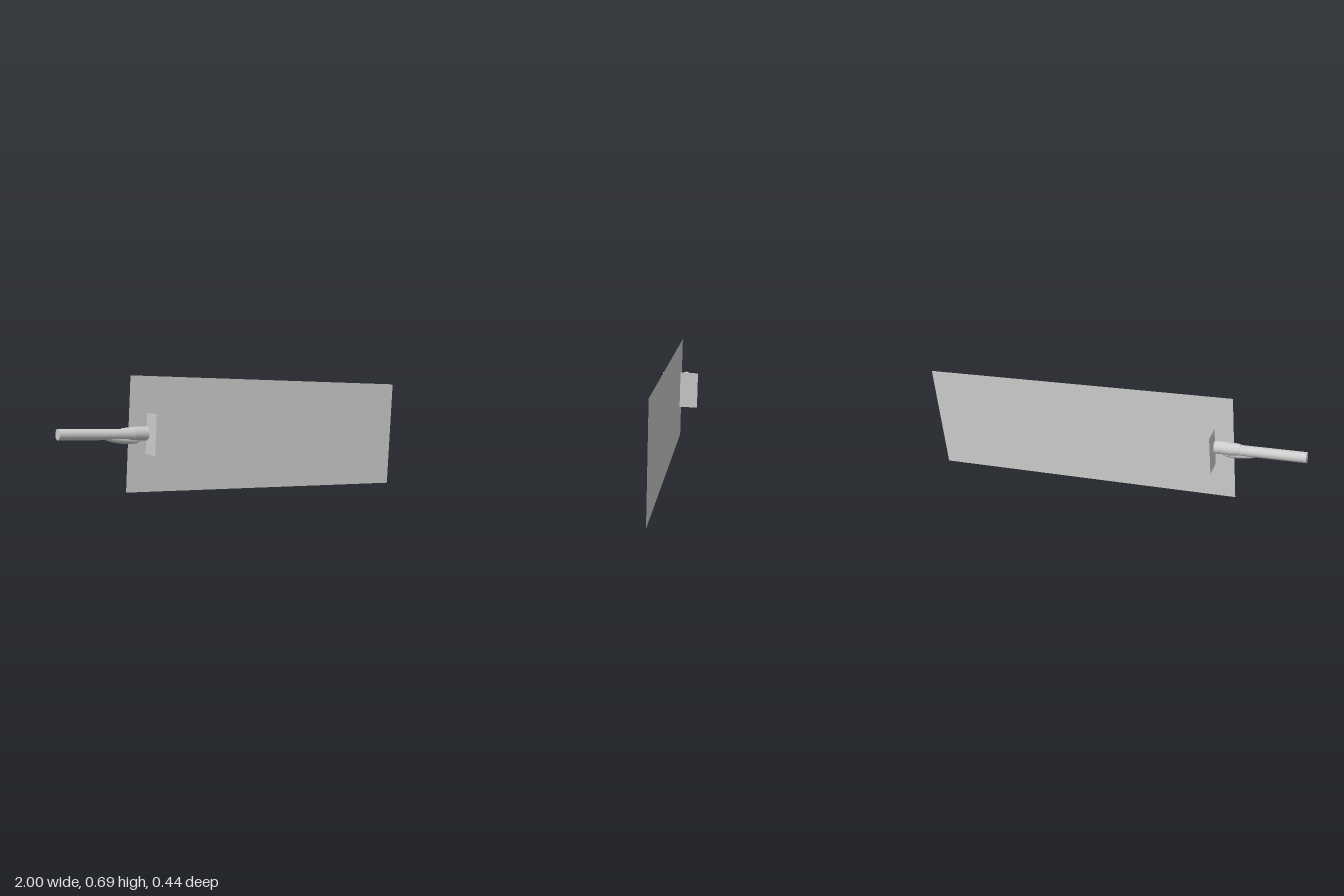
import * as THREE from 'three';

export function createModel() {
  const model = new THREE.Group();
  const grey = new THREE.MeshStandardMaterial({ color: 0xcccccc, side: THREE.DoubleSide });
  grey.name = 'light grey';

  // Tilted frame: local x runs along the blade, local y up its face
  const along = new THREE.Vector3(1.62, -0.128, 0.339).normalize();
  const up = new THREE.Vector3(0.0455, 0.562, -0.0095);
  up.addScaledVector(along, -up.dot(along)).normalize();
  const out = new THREE.Vector3().crossVectors(along, up);
  const body = new THREE.Group();
  body.name = 'body';
  body.quaternion.setFromRotationMatrix(new THREE.Matrix4().makeBasis(along, up, out));
  body.position.set(0.165, 0.349, 0.049);
  model.add(body);

  const add = (name, geometry, x, y = 0) => {
    const mesh = new THREE.Mesh(geometry, grey);
    mesh.name = name;
    mesh.position.set(x, y, 0);
    body.add(mesh);
    return mesh;
  };

  // Broad flat blade and the cross plate through it, both paper thin
  add('blade', new THREE.PlaneGeometry(1.66, 0.565), 0);
  const guardX = -0.733;
  add('guard', new THREE.PlaneGeometry(0.2, 0.2).rotateY(Math.PI / 2), guardX, 0.004);

  // Round rod with its axis along local x; first radius is at the +x end
  const rod = (r1, r2, length) =>
    new THREE.CylinderGeometry(r1, r2, length, 24).rotateZ(-Math.PI / 2);

  add('handle', rod(0.027, 0.027, 0.34), guardX - 0.287, -0.001);
  add('collar', rod(0.034, 0.034, 0.07), guardX - 0.035, 0.004);
  add('collarTaper', rod(0.034, 0.028, 0.06), guardX - 0.1, 0.002);

  // Finger swelling under the front of the grip
  const finger = add('fingerRest', new THREE.SphereGeometry(1, 24, 12), guardX - 0.135, -0.024);
  finger.scale.set(0.1, 0.021, 0.02);
  finger.rotation.z = -0.1;

  return model;
}
